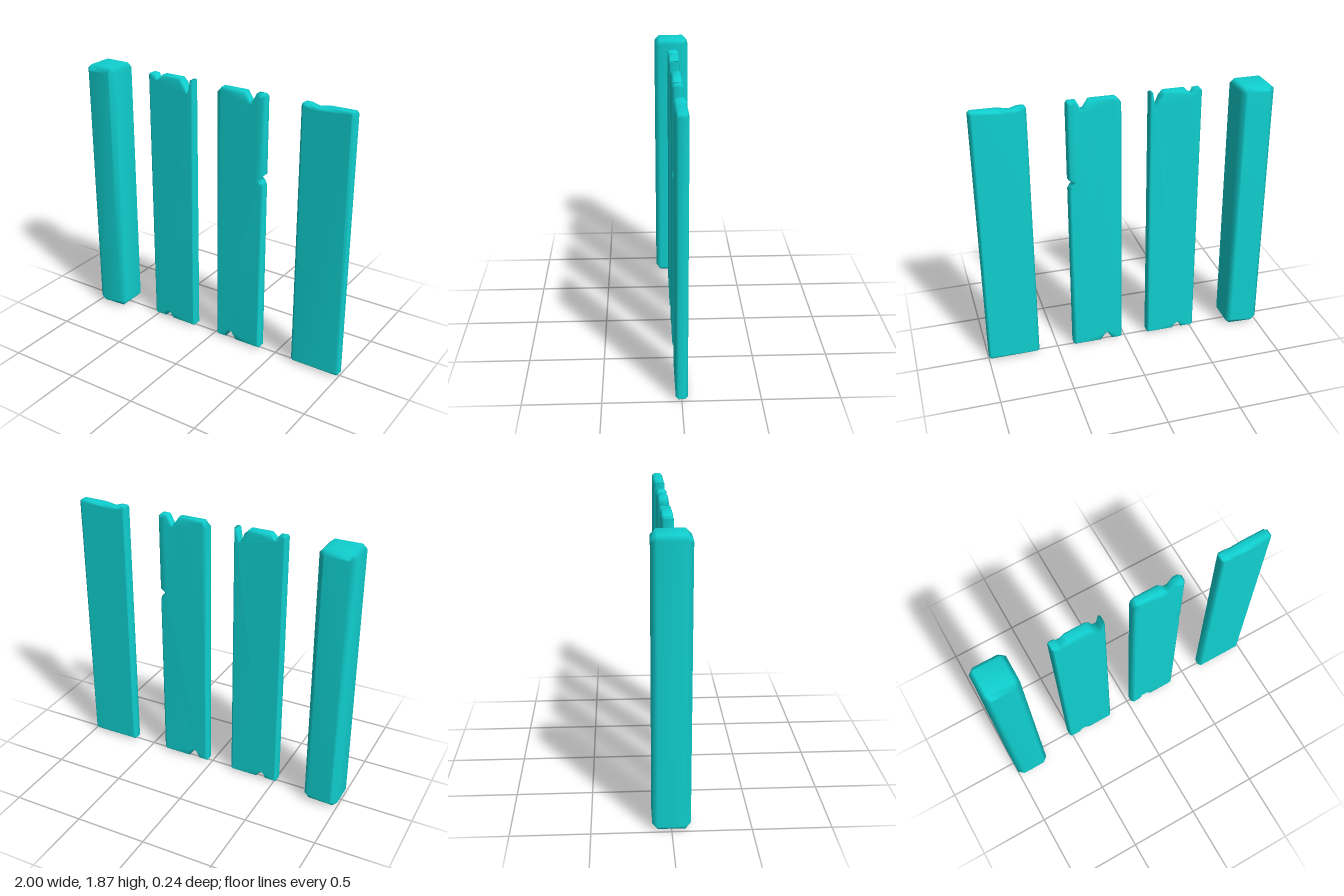
import * as THREE from 'three';
import { mergeVertices } from 'three/addons/utils/BufferGeometryUtils.js';

const material = new THREE.MeshStandardMaterial({ color: 0x10d0d0 });

// Extrude a front outline to a full thickness, with one soft chamfer round it
function board(name, outline, thickness, bevel) {
  const shape = new THREE.Shape(outline.map(([x, y]) => new THREE.Vector2(x, y)));
  let geometry = new THREE.ExtrudeGeometry(shape, {
    depth: thickness - 2 * bevel, bevelEnabled: true, bevelSegments: 1,
    bevelSize: bevel, bevelThickness: bevel, bevelOffset: -bevel,
  });
  geometry.translate(0, 0, bevel - thickness / 2);
  // Weld the corners so the chamfers shade smoothly
  geometry.deleteAttribute('normal');
  geometry.deleteAttribute('uv');
  geometry = mergeVertices(geometry, 1e-4);
  geometry.computeVertexNormals();
  const mesh = new THREE.Mesh(geometry, material);
  mesh.name = name;
  return mesh;
}

export function createModel() {
  const group = new THREE.Group();
  group.name = 'fenceParts';

  // Square post with chamfered ends
  group.add(board('post', [
    [-0.965, 0], [-0.79, 0.008], [-0.76, 0.04], [-0.76, 1.84],
    [-0.79, 1.868], [-0.97, 1.868], [-1, 1.84], [-1, 0.035],
  ], 0.24, 0.033));

  // Plank with two notches on top and one below
  group.add(board('notchedPlank', [
    [-0.51, 0.006], [-0.43, 0.008], [-0.415, 0.043], [-0.395, 0.045], [-0.36, 0.006],
    [-0.175, 0.006], [-0.165, 0.018], [-0.165, 1.866], [-0.187, 1.866], [-0.2, 1.785],
    [-0.215, 1.785], [-0.237, 1.84], [-0.265, 1.868], [-0.41, 1.868], [-0.44, 1.838],
    [-0.455, 1.835], [-0.468, 1.864], [-0.51, 1.866], [-0.52, 1.855], [-0.52, 0.018],
  ], 0.073, 0.011));

  // Plank with a notch on top, on one side and below
  group.add(board('chippedPlank', [
    [0.037, 0.006], [0.1, 0.008], [0.128, 0.058], [0.145, 0.058], [0.182, 0.006],
    [0.373, 0.006], [0.386, 0.02], [0.386, 1.25], [0.372, 1.28], [0.353, 1.298],
    [0.386, 1.325], [0.386, 1.85], [0.37, 1.866], [0.32, 1.866], [0.288, 1.806],
    [0.275, 1.806], [0.235, 1.866], [0.06, 1.866], [0.025, 1.828], [0.025, 0.02],
  ], 0.073, 0.016));

  // Plain plank with a shallow dip on top
  group.add(board('plainPlank', [
    [0.652, 0.006], [0.985, 0.006], [0.998, 0.02], [1, 1.85], [0.985, 1.866],
    [0.82, 1.864], [0.74, 1.851], [0.69, 1.866], [0.648, 1.866], [0.638, 1.855], [0.638, 0.02],
  ], 0.076, 0.016));

  return group;
}
